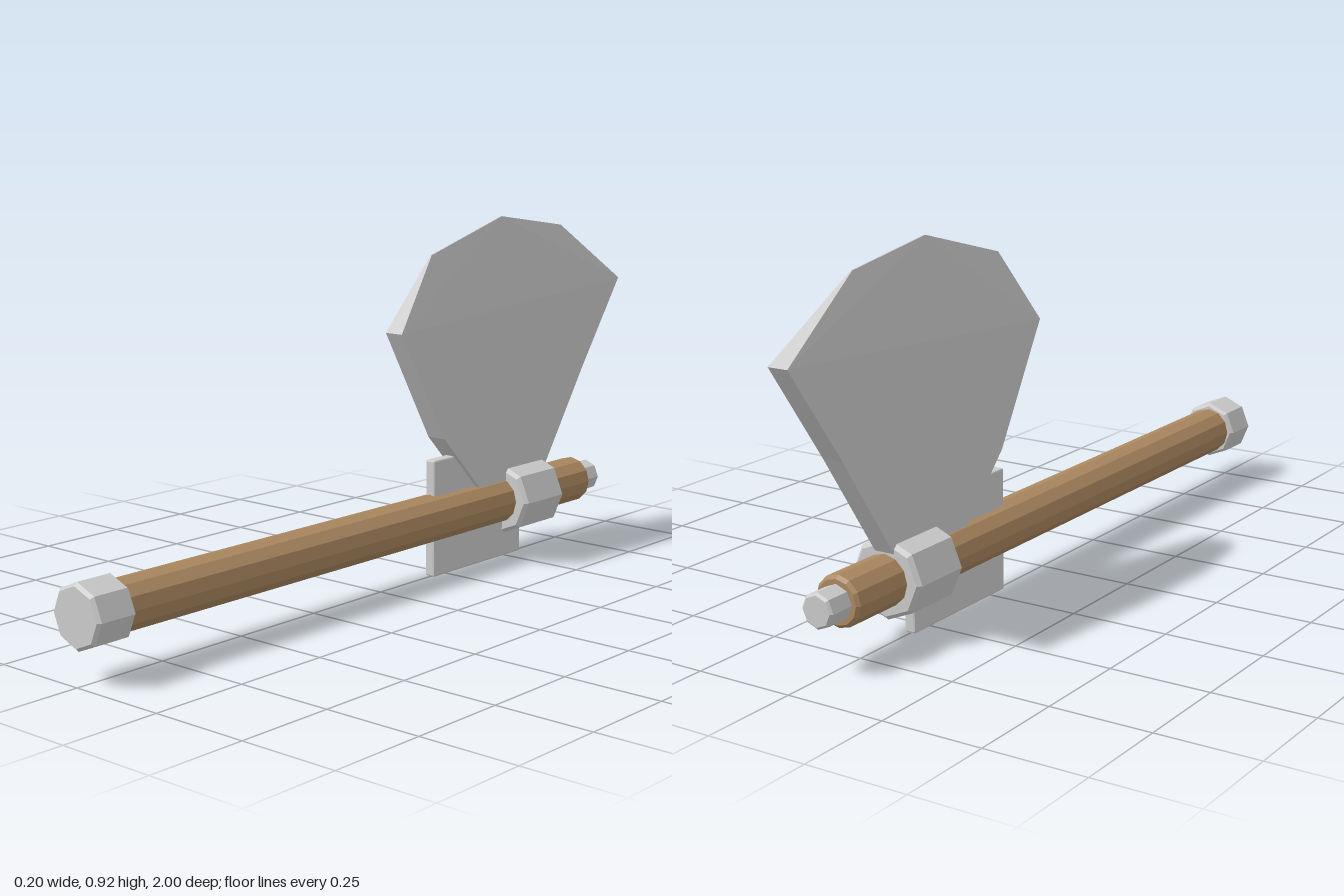
import * as THREE from 'three';
import { RoundedBoxGeometry } from 'three/addons/geometries/RoundedBoxGeometry.js';

const AXIS_Y = 0.157;
const steel = new THREE.MeshStandardMaterial({ color: 0xcccccc, flatShading: true });
const wood = new THREE.MeshStandardMaterial({ color: 0xaa8860, flatShading: true });

// Faceted rod along z with chamfered ends
function rod(name, radius, z0, z1, sides, bevel, material) {
  const profile = [
    [0, z0], [radius - bevel, z0], [radius, z0 + bevel],
    [radius, z1 - bevel], [radius - bevel, z1], [0, z1],
  ].map(([r, z]) => new THREE.Vector2(r, z));
  const geometry = new THREE.LatheGeometry(profile, sides).rotateX(Math.PI / 2);
  const mesh = new THREE.Mesh(geometry, material);
  mesh.name = name;
  mesh.position.y = AXIS_Y;
  return mesh;
}

// Fan-shaped blade: flat cheeks up to the two corners, then thinning to the cutting edge
function bladeGeometry() {
  // outline as [z, y, half thickness], clockwise seen from +x
  const outline = [
    [-0.05, 0.655, 0.026], [-0.195, 0.84, 0.002], [-0.485, 0.92, 0.002],
    [-0.75, 0.88, 0.002], [-1, 0.715, 0.026], [-0.83, 0.48, 0.027],
    [-0.65, 0.215, 0.027], [-0.61, 0.157, 0.027], [-0.43, 0.157, 0.027],
    [-0.37, 0.21, 0.027], [-0.22, 0.365, 0.027],
  ];
  const cheek = [
    [0, 1, 2], [0, 2, 4], [2, 3, 4],
    [0, 4, 5], [0, 5, 10], [10, 5, 6], [10, 6, 9], [9, 6, 7], [9, 7, 8],
  ];
  const positions = [];
  const put = (i, side) => {
    const [z, y, half] = outline[i];
    positions.push(side * half, y, z);
  };
  for (const [a, b, c] of cheek) {
    put(a, 1); put(c, 1); put(b, 1);
    put(a, -1); put(b, -1); put(c, -1);
  }
  // rim
  outline.forEach((_, i) => {
    const j = (i + 1) % outline.length;
    put(i, 1); put(j, 1); put(j, -1);
    put(i, 1); put(j, -1); put(i, -1);
  });
  const geometry = new THREE.BufferGeometry();
  geometry.setAttribute('position', new THREE.Float32BufferAttribute(positions, 3));
  geometry.computeVertexNormals();
  return geometry;
}

export function createModel() {
  const model = new THREE.Group();
  model.name = 'axe';

  model.add(
    rod('handle', 0.062, -0.83, 0.9, 12, 0.008, wood),
    rod('pommel', 0.078, 0.89, 1, 8, 0.008, steel),
    rod('collar', 0.098, -0.655, -0.483, 8, 0.01, steel),
    rod('endPin', 0.043, -0.9, -0.81, 8, 0.006, steel),
  );

  const blade = new THREE.Mesh(bladeGeometry(), steel);
  blade.name = 'blade';
  model.add(blade);

  // Plate passing through the handle beneath the blade
  const plate = new THREE.Mesh(new RoundedBoxGeometry(0.03, 0.31, 0.37, 1, 0.005), steel);
  plate.name = 'backPlate';
  plate.position.set(0, 0.155, -0.38);
  model.add(plate);

  return model;
}
